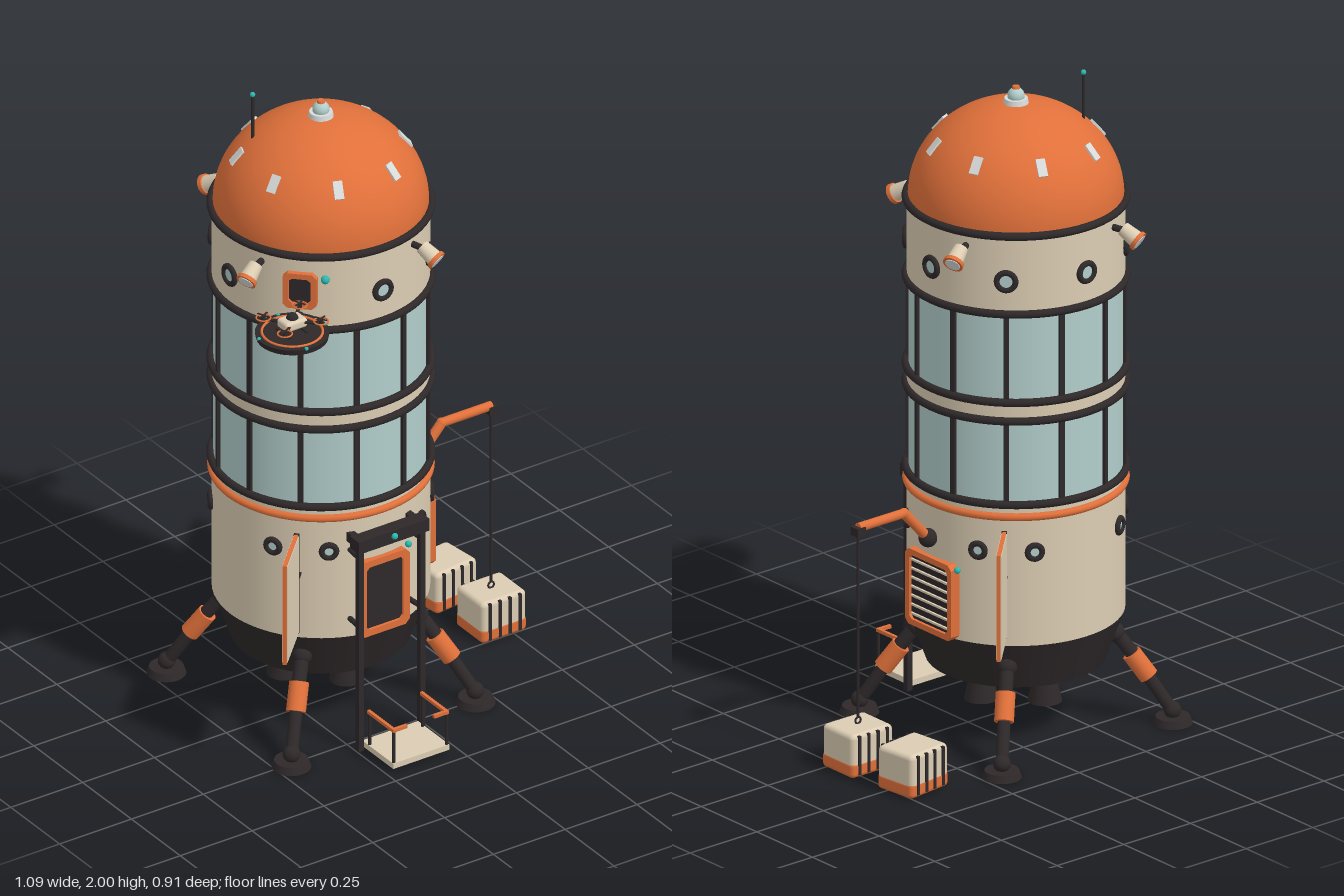
import * as THREE from 'three';
import { RoundedBoxGeometry } from 'three/addons/geometries/RoundedBoxGeometry.js';

const paint = (name, color) => Object.assign(new THREE.MeshStandardMaterial({ color }), { name });
const V = (x, y, z) => new THREE.Vector3(x, y, z);
const rad = THREE.MathUtils.degToRad;

export function createModel() {
  const orange = paint('orange', 0xe0703a), cream = paint('cream', 0xdccdb3), dark = paint('charcoal', 0x2e2829);
  const glass = paint('glass', 0xb2cecb), teal = paint('teal', 0x2bb8b0), pale = paint('pale grey', 0xd6dad8);
  const model = new THREE.Group();
  model.name = 'landerTower';
  const R = 0.315;

  const add = (parent, name, geo, mat, x = 0, y = 0, z = 0) => {
    const m = new THREE.Mesh(geo, mat);
    m.name = name;
    m.position.set(x, y, z);
    parent.add(m);
    return m;
  };
  const group = (parent, name, x = 0, y = 0, z = 0) => {
    const g = new THREE.Group();
    g.name = name;
    g.position.set(x, y, z);
    parent.add(g);
    return g;
  };
  const box = (p, name, w, h, d, mat, x, y, z) => add(p, name, new THREE.BoxGeometry(w, h, d), mat, x, y, z);
  const cyl = (p, name, rt, rb, h, mat, x, y, z, n = 24) => add(p, name, new THREE.CylinderGeometry(rt, rb, h, n), mat, x, y, z);
  const ball = (p, name, r, mat, x, y, z) => add(p, name, new THREE.SphereGeometry(r, 16, 12), mat, x, y, z);
  const hoop = (p, name, r, t, mat, y) =>
    add(p, name, new THREE.TorusGeometry(r, t, 10, 64).rotateX(Math.PI / 2), mat, 0, y, 0);
  const rod = (p, name, a, b, r, mat) => {
    const d = b.clone().sub(a), m = cyl(p, name, r, r, d.length(), mat, 0, 0, 0, 14);
    m.position.copy(a).add(b).multiplyScalar(0.5);
    m.quaternion.setFromUnitVectors(V(0, 1, 0), d.normalize());
    return m;
  };
  const lathe = (p, name, pts, mat) =>
    add(p, name, new THREE.LatheGeometry(pts.map(q => new THREE.Vector2(...q)), 64), mat);

  // Everything on the tower; a bearing group has its local +z pointing outward
  const tower = group(model, 'tower', -0.13, 0, -0.06);
  const bearing = (name, deg) => {
    const g = group(tower, name);
    g.rotation.y = rad(deg);
    return g;
  };

  // Hull
  lathe(tower, 'hullBase', [[0, 0.2], [0.262, 0.2]], dark);
  lathe(tower, 'hullSkirt', [[0.262, 0.2], [R, 0.35]], dark);
  lathe(tower, 'lowerHull', [[R, 0.35], [R, 0.8]], cream);
  lathe(tower, 'lowerGlazing', [[0.31, 0.79], [0.31, 1.05]], glass);
  lathe(tower, 'middleBand', [[R, 1.05], [R, 1.11]], cream);
  lathe(tower, 'upperGlazing', [[0.31, 1.11], [0.31, 1.38]], glass);
  lathe(tower, 'upperHull', [[R, 1.38], [R, 1.63]], cream);
  hoop(tower, 'orangeBand', 0.316, 0.012, orange, 0.752);
  for (const y of [0.79, 1.05, 1.108, 1.383, 1.625]) hoop(tower, 'hullRing', 0.318, 0.012, dark, y);
  for (let i = 0; i < 12; i++) {
    const g = bearing('mullion', 15 + 30 * i);
    box(g, 'lowerMullion', 0.016, 0.26, 0.016, dark, 0, 0.92, 0.311);
    box(g, 'upperMullion', 0.016, 0.27, 0.016, dark, 0, 1.245, 0.311);
  }

  // Dome, its pale plates, cap and antenna
  add(tower, 'dome', new THREE.SphereGeometry(1, 64, 24, 0, Math.PI * 2, 0, Math.PI / 2).scale(0.312, 0.285, 0.312), orange, 0, 1.63, 0);
  for (let i = 0; i < 8; i++) {
    const g = bearing('domePlate', 22.5 + 45 * i);
    box(g, 'plate', 0.028, 0.054, 0.009, pale, 0, 1.805, 0.247).rotation.x = -0.695;
  }
  cyl(tower, 'capBase', 0.034, 0.038, 0.02, pale, 0, 1.918, 0);
  ball(tower, 'capLamp', 0.025, glass, 0, 1.935, 0);
  cyl(tower, 'capTip', 0.01, 0.012, 0.008, orange, 0, 1.961, 0);
  rod(tower, 'antenna', V(-0.172, 1.84, -0.097), V(-0.172, 1.992, -0.097), 0.005, dark);
  ball(tower, 'antennaLight', 0.008, teal, -0.172, 1.992, -0.097);

  // Portholes
  const porthole = (deg, y, r) => {
    const g = bearing('porthole', deg);
    add(g, 'portholeRim', new THREE.TorusGeometry(r, 0.009, 10, 24), dark, 0, y, R + 0.003);
    add(g, 'portholeGlass', new THREE.CylinderGeometry(r, r, 0.02, 24).rotateX(Math.PI / 2), glass, 0, y, R - 0.005);
  };
  for (let i = 0; i < 8; i++) if (i !== 7) porthole(45 * i, 1.485, 0.027);
  for (let i = 0; i < 12; i++) if (i % 3) porthole(30 * i, 0.642, 0.021);

  // Floodlights tilted toward the ground
  for (let i = 0; i < 4; i++) {
    const g = bearing('floodlight', 23 + 90 * i);
    rod(g, 'lampBracket', V(0, 1.585, 0.3), V(0, 1.58, 0.35), 0.01, dark);
    const lamp = group(g, 'lamp', 0, 1.571, 0.37);
    lamp.rotation.x = 0.55;
    const turned = (name, a, b, h, mat, z) =>
      add(lamp, name, new THREE.CylinderGeometry(a, b, h, 20).rotateX(Math.PI / 2), mat, 0, 0, z);
    turned('lampBody', 0.026, 0.021, 0.055, cream, 0);
    turned('lampRim', 0.031, 0.03, 0.012, orange, 0.028);
    turned('lampLens', 0.023, 0.023, 0.004, pale, 0.034);
  }

  // Doors: chamfered frame with a dark panel
  const outline = (T, w, h, c) => {
    const s = new T(), x = w / 2, y = h / 2;
    [[-x + c, -y], [x - c, -y], [x, -y + c], [x, y - c], [x - c, y], [-x + c, y], [-x, y - c], [-x, -y + c]]
      .forEach(([a, b], i) => (i ? s.lineTo(a, b) : s.moveTo(a, b)));
    s.closePath();
    return s;
  };
  const door = (name, deg, y, w, h, t) => {
    const g = bearing(name, deg), s = outline(THREE.Shape, w, h, 0.014);
    s.holes.push(outline(THREE.Path, w - 2 * t, h - 2 * t, 0.01));
    add(g, name + 'Frame', new THREE.ExtrudeGeometry(s, { depth: 0.045, bevelEnabled: false }), orange, 0, y, 0.285);
    box(g, name + 'Panel', w - 1.5 * t, h - 1.5 * t, 0.035, dark, 0, y, 0.303);
    return g;
  };
  const mainDoor = door('mainDoor', 0, 0.475, 0.17, 0.25, 0.021);
  ball(mainDoor, 'doorLight', 0.01, teal, 0.094, 0.6, 0.31);
  const cargo = door('cargoDoor', 90, 0.468, 0.205, 0.235, 0.018);
  for (let i = 0; i < 7; i++) box(cargo, 'slat', 0.165, 0.006, 0.008, cream, 0, 0.384 + 0.028 * i, 0.323);
  ball(cargo, 'cargoLight', 0.01, teal, 0.108, 0.572, 0.31);
  const droneDoor = door('droneDoor', -45, 1.515, 0.1, 0.115, 0.017);
  ball(droneDoor, 'droneDoorLight', 0.013, teal, 0.075, 1.56, 0.325);

  // Rocket nozzles and legs
  for (let i = 0; i < 4; i++) {
    cyl(bearing('nozzle', 90 * i), 'bell', 0.024, 0.05, 0.115, dark, 0, 0.152, 0.13);
    const leg = bearing('leg', 45 + 90 * i), at = (r, y) => V(0, y, r);
    ball(leg, 'hip', 0.03, dark, 0, 0.275, 0.285);
    rod(leg, 'upperLeg', at(0.28, 0.285), at(0.345, 0.2), 0.021, dark);
    rod(leg, 'legSleeve', at(0.333, 0.212), at(0.384, 0.142), 0.029, orange);
    rod(leg, 'lowerLeg', at(0.37, 0.16), at(0.45, 0.04), 0.019, dark);
    ball(leg, 'ankle', 0.026, dark, 0, 0.04, 0.452);
    cyl(leg, 'foot', 0.05, 0.058, 0.022, dark, 0, 0.011, 0.453, 32);
  }

  // Radial side panels
  for (const deg of [135, -45]) {
    const g = bearing('sidePanel', deg);
    box(g, 'panelCore', 0.012, 0.33, 0.185, orange, 0, 0.565, 0.468);
    for (const s of [-1, 1]) box(g, 'panelFace', 0.003, 0.322, 0.176, cream, s * 0.0065, 0.565, 0.467);
    box(g, 'panelHinge', 0.016, 0.33, 0.01, dark, 0, 0.565, 0.375);
    rod(g, 'panelPin', V(0, 0.565, 0.31), V(0, 0.565, 0.375), 0.004, dark);
  }

  // Lift: gantry in front of the door and a railed platform
  const lift = group(model, 'lift', -0.13, 0, 0);
  for (const s of [-1, 1]) {
    box(lift, 'liftPost', 0.018, 0.68, 0.018, dark, s * 0.107, 0.34, 0.297);
    for (const y of [0.41, 0.64]) rod(lift, 'liftBrace', V(s * 0.107, y, 0.297), V(s * 0.1, y, 0.225), 0.008, dark);
    box(lift, 'gantryArm', 0.022, 0.03, 0.075, dark, s * 0.1, 0.685, 0.255);
    for (const z of [0.325, 0.448]) rod(lift, 'railPost', V(s * 0.092, 0.02, z), V(s * 0.092, 0.135, z), 0.005, dark);
    box(lift, 'sideRail', 0.01, 0.01, 0.135, orange, s * 0.092, 0.135, 0.386);
    box(lift, 'frontRail', 0.05, 0.01, 0.01, orange, s * 0.072, 0.135, 0.448);
  }
  box(lift, 'gantryBeam', 0.245, 0.04, 0.045, dark, 0, 0.687, 0.293);
  ball(lift, 'gantryLight', 0.01, teal, 0, 0.69, 0.318);
  box(lift, 'platform', 0.195, 0.018, 0.16, cream, 0, 0.019, 0.374);

  // Cargo crane
  const crane = group(model, 'crane', 0, 0, -0.06);
  ball(crane, 'cranePivot', 0.028, dark, 0.2, 0.645, 0);
  const bend = [V(0.205, 0.65, 0), V(0.29, 0.745, 0), V(0.462, 0.745, 0)];
  rod(crane, 'craneBoom', bend[0], bend[1], 0.015, orange);
  ball(crane, 'craneElbow', 0.0155, orange, 0.29, 0.745, 0);
  rod(crane, 'craneJib', bend[1], bend[2], 0.014, orange);
  box(crane, 'cranePulley', 0.03, 0.026, 0.034, dark, 0.462, 0.735, 0);
  rod(crane, 'cable', V(0.462, 0.73, 0), V(0.462, 0.155, 0), 0.004, dark);
  add(crane, 'hook', new THREE.TorusGeometry(0.01, 0.003, 8, 16), dark, 0.462, 0.146, 0);

  // Crates
  for (const [x, z, turn] of [[0.463, -0.06, 0], [0.44, -0.28, 0.12]]) {
    const g = group(model, 'crate', x, 0, z);
    g.rotation.y = turn;
    add(g, 'crateBody', new RoundedBoxGeometry(0.156, 0.125, 0.138, 3, 0.015), cream, 0, 0.0735, 0);
    add(g, 'crateBase', new RoundedBoxGeometry(0.158, 0.05, 0.14, 3, 0.014), orange, 0, 0.027, 0);
    for (const s of [-1, 1]) for (const dx of [-0.052, -0.017, 0.017, 0.052])
      box(g, 'strap', 0.009, 0.12, 0.014, dark, dx, 0.072, s * 0.066);
  }

  // Drone pad and drone
  const pad = group(model, 'dronePad', -0.437, 1.432, 0.245);
  cyl(pad, 'padDeck', 0.108, 0.104, 0.018, dark, 0, 0, 0, 40);
  hoop(pad, 'padRing', 0.088, 0.004, orange, 0.01);
  rod(pad, 'padArm', V(0.04, -0.006, -0.04), V(0.1, -0.006, -0.1), 0.014, dark);
  for (let i = 0; i < 4; i++) {
    const a = rad(-11 + 90 * i);
    ball(pad, 'padLight', 0.006, teal, 0.104 * Math.sin(a), 0.008, 0.104 * Math.cos(a));
  }
  const drone = group(pad, 'drone', 0, 0.04, 0);
  add(drone, 'droneBody', new RoundedBoxGeometry(0.076, 0.03, 0.054, 3, 0.01), cream);
  ball(drone, 'droneDome', 0.018, dark, 0, 0.014, 0.0);
  for (const sx of [-1, 1]) {
    rod(drone, 'skid', V(sx * 0.03, -0.028, -0.035), V(sx * 0.03, -0.028, 0.035), 0.004, dark);
    for (const sz of [-1, 1]) {
      rod(drone, 'droneArm', V(0, 0, 0), V(sx * 0.063, 0.005, sz * 0.055), 0.005, dark);
      const rotor = group(drone, 'rotor', sx * 0.063, 0.01, sz * 0.055);
      hoop(rotor, 'rotorGuard', 0.021, 0.0025, orange, 0);
      cyl(rotor, 'rotorHub', 0.006, 0.007, 0.018, dark, 0, 0, 0, 12);
      for (const turn of [0.4, 0.4 + Math.PI / 2]) box(rotor, 'blade', 0.04, 0.002, 0.005, dark, 0, 0.008, 0).rotation.y = turn;
    }
  }
  return model;
}
